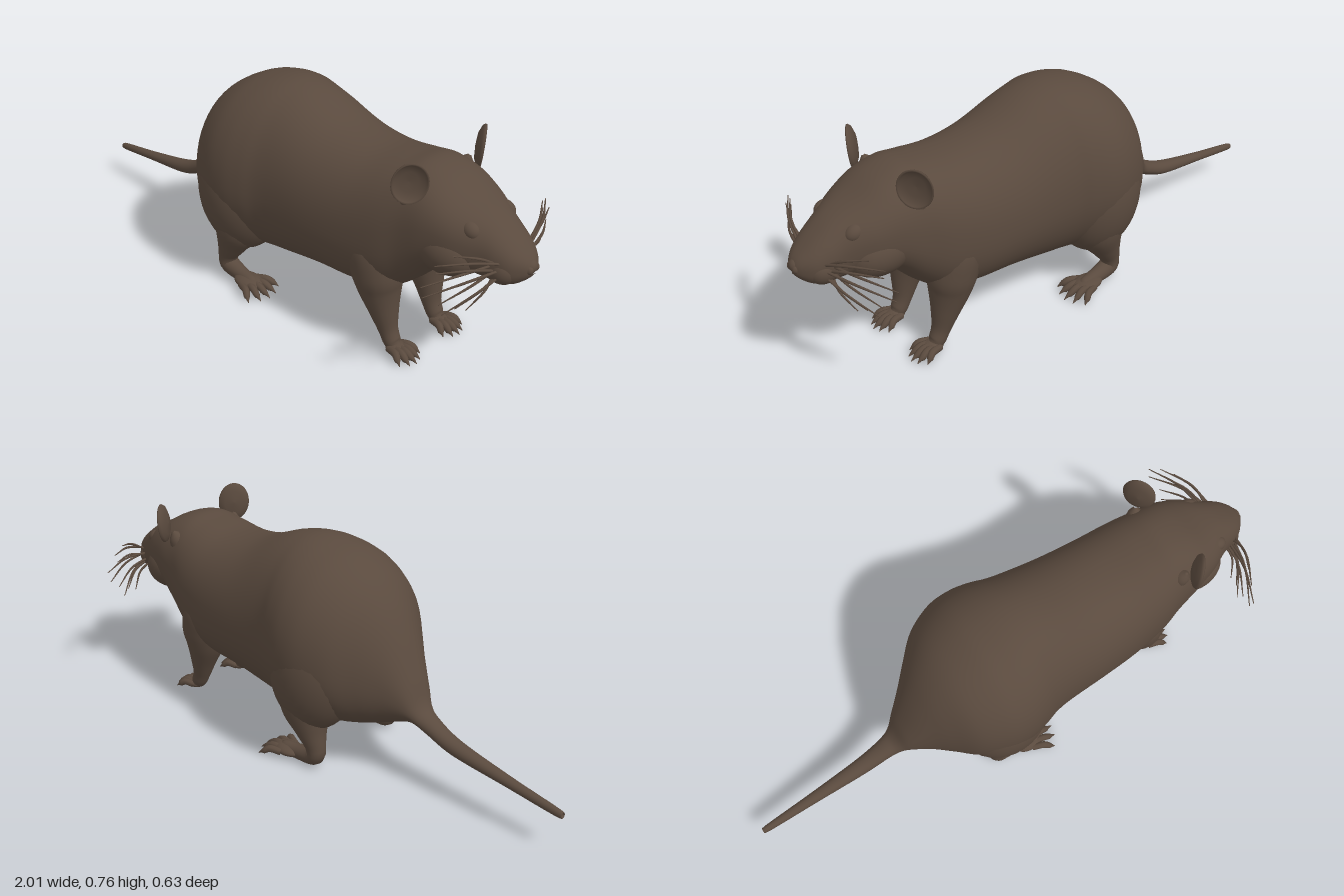
import * as THREE from 'three';
import { mergeVertices } from 'three/addons/utils/BufferGeometryUtils.js';

const fur = new THREE.MeshStandardMaterial({ color: 0x5a4a3e });
fur.name = 'brown fur';

function add(parent, name, geometry) {
  const mesh = new THREE.Mesh(geometry, fur);
  mesh.name = name;
  parent.add(mesh);
  return mesh;
}

function ellipsoid(parent, name, [x, y, z], [rx, ry, rz], tilt = 0) {
  const mesh = add(parent, name, new THREE.SphereGeometry(1, 32, 24));
  mesh.position.set(x, y, z);
  mesh.scale.set(rx, ry, rz);
  mesh.rotation.z = tilt;
  return mesh;
}

const spline = points => new THREE.CatmullRomCurve3(points, false, 'catmullrom', 0.5);

// Tapered tube through points [x, y, z, radius]
function taper(parent, name, points, steps = 20, sides = 16) {
  const curve = spline(points.map(p => new THREE.Vector3(p[0], p[1], p[2])));
  const radii = spline(points.map(p => new THREE.Vector3(p[3], 0, 0)));
  const geo = new THREE.TubeGeometry(curve, steps, 1, sides);
  const pos = geo.attributes.position;
  const v = new THREE.Vector3();
  for (let i = 0; i <= steps; i++) {
    const c = curve.getPointAt(i / steps);
    const r = Math.max(0.001, radii.getPoint(curve.getUtoTmapping(i / steps)).x);
    for (let j = 0; j <= sides; j++) {
      const n = i * (sides + 1) + j;
      v.fromBufferAttribute(pos, n).sub(c).multiplyScalar(r).add(c);
      pos.setXYZ(n, v.x, v.y, v.z);
    }
  }
  geo.deleteAttribute('uv');
  geo.deleteAttribute('normal');
  const smooth = mergeVertices(geo, 1e-5);
  smooth.computeVertexNormals();
  return add(parent, name, smooth);
}

// Tail, trunk and head: [x, top, bottom, half width]
const SECTIONS = [
  [-1.0, 0.137, 0.128, 0.004], [-0.99, 0.146, 0.12, 0.012], [-0.8, 0.176, 0.142, 0.02],
  [-0.6, 0.216, 0.165, 0.03], [-0.5, 0.258, 0.2, 0.037], [-0.455, 0.295, 0.22, 0.048],
  [-0.42, 0.38, 0.222, 0.072], [-0.36, 0.51, 0.2, 0.118], [-0.3, 0.61, 0.178, 0.175],
  [-0.23, 0.683, 0.16, 0.24], [-0.14, 0.735, 0.148, 0.279], [-0.06, 0.757, 0.142, 0.285],
  [0.01, 0.765, 0.14, 0.27], [0.07, 0.76, 0.142, 0.25], [0.14, 0.742, 0.15, 0.24],
  [0.28, 0.69, 0.175, 0.232], [0.42, 0.67, 0.19, 0.22], [0.54, 0.683, 0.22, 0.203],
  [0.62, 0.695, 0.28, 0.182], [0.7, 0.675, 0.365, 0.168], [0.78, 0.632, 0.405, 0.145],
  [0.86, 0.593, 0.4, 0.104], [0.91, 0.56, 0.398, 0.088], [0.95, 0.528, 0.408, 0.07],
  [0.98, 0.5, 0.432, 0.04], [0.997, 0.472, 0.456, 0.01],
];

function bodyGeometry() {
  const steps = 150, sides = 48;
  const heights = spline(SECTIONS.map(s => new THREE.Vector3(s[0], s[1], s[2])));
  const widths = spline(SECTIONS.map(s => new THREE.Vector3(s[0], s[3], 0)));
  const positions = [], index = [];
  for (let i = 0; i <= steps; i++) {
    const { x, y: top, z: bottom } = heights.getPoint(i / steps);
    const w = widths.getPoint(i / steps).y;
    const mid = THREE.MathUtils.lerp(bottom, top, 0.46);
    // The head is a little boxier than the trunk
    const power = 0.95 - 0.12 * THREE.MathUtils.smoothstep(x, 0.2, 0.6);
    const full = p => Math.sign(p) * Math.pow(Math.abs(p), power);
    for (let j = 0; j < sides; j++) {
      const a = (j / sides) * Math.PI * 2;
      const s = Math.sin(a), c = Math.cos(a);
      positions.push(x, mid + full(s) * (s > 0 ? top - mid : mid - bottom), full(c) * w);
      if (i < steps) {
        const A = i * sides + j, D = i * sides + (j + 1) % sides;
        index.push(A, A + sides, D + sides, A, D + sides, D);
      }
    }
  }
  const geo = new THREE.BufferGeometry();
  geo.setAttribute('position', new THREE.Float32BufferAttribute(positions, 3));
  geo.setIndex(index);
  geo.computeVertexNormals();
  return geo;
}

// Fan of clawed toes in front of a palm at [x, z]
function toes(parent, name, x, z, length, gap, spread) {
  for (let k = -2; k <= 2; k++) {
    const reach = length * (1 - 0.09 * k * k);
    const at = f => z + k * (gap + (spread - gap) * f);
    taper(parent, name, [
      [x - 0.02, 0.026, at(0), 0.012], [x + reach * 0.35, 0.03, at(0.4), 0.013],
      [x + reach * 0.7, 0.018, at(0.75), 0.011], [x + reach * 0.82, 0.015, at(0.85), 0.006],
      [x + reach, 0.006, at(1), 0.001],
    ], 12, 8);
  }
}

// Whisker tips [x, y, z]
const WHISKERS = [
  [0.84, 0.53, 0.27], [0.86, 0.55, 0.22], [0.83, 0.475, 0.315], [0.83, 0.435, 0.305],
  [0.84, 0.5, 0.26], [0.85, 0.395, 0.255], [0.85, 0.35, 0.235], [0.87, 0.365, 0.2],
  [0.88, 0.345, 0.16],
];

// Everything that exists once per side, built for the left of the animal (+z)
function buildSide() {
  const side = new THREE.Group();

  ellipsoid(side, 'haunch', [-0.1, 0.355, 0.145], [0.168, 0.225, 0.143], 0.08);
  taper(side, 'hindLeg', [
    [-0.08, 0.38, 0.15, 0.05], [-0.085, 0.3, 0.165, 0.098], [-0.09, 0.22, 0.175, 0.09],
    [-0.118, 0.14, 0.182, 0.057], [-0.14, 0.08, 0.185, 0.036], [-0.135, 0.043, 0.185, 0.034],
    [-0.07, 0.03, 0.19, 0.028], [0, 0.028, 0.198, 0.022], [0.02, 0.026, 0.2, 0.003],
  ], 44, 20);
  ellipsoid(side, 'hindPaw', [-0.02, 0.028, 0.197], [0.06, 0.02, 0.044]);
  toes(side, 'hindToe', 0, 0.198, 0.09, 0.018, 0.036);

  taper(side, 'foreLeg', [
    [0.45, 0.5, 0.1, 0.04], [0.48, 0.4, 0.118, 0.088], [0.505, 0.3, 0.118, 0.088],
    [0.515, 0.23, 0.115, 0.073], [0.535, 0.15, 0.113, 0.05], [0.555, 0.08, 0.11, 0.033],
    [0.58, 0.035, 0.11, 0.027], [0.615, 0.026, 0.11, 0.003],
  ], 40, 20);
  ellipsoid(side, 'forePaw', [0.595, 0.026, 0.11], [0.04, 0.018, 0.034]);
  toes(side, 'foreToe', 0.6, 0.11, 0.08, 0.012, 0.025);

  // Cupped ear with a rounded rim
  const profile = [[0, 0.0], [0.6, 0.06], [0.92, 0.22], [1.0, 0.36], [0.97, 0.42], [0.9, 0.38],
    [0.8, 0.28], [0.5, 0.17], [0, 0.14]].map(p => new THREE.Vector2(p[0], p[1]));
  const earGeo = new THREE.LatheGeometry(profile, 36);
  earGeo.rotateZ(-Math.PI / 2);
  earGeo.scale(0.06, 0.072, 0.058);
  const ear = add(side, 'ear', earGeo);
  ear.position.set(0.64, 0.682, 0.158);
  ear.rotation.set(0.15, -0.65, 0);
  taper(side, 'earBase', [[0.62, 0.58, 0.12, 0.04], [0.625, 0.625, 0.138, 0.028],
    [0.63, 0.65, 0.148, 0.005]], 10);

  ellipsoid(side, 'eyelid', [0.82, 0.562, 0.085], [0.034, 0.027, 0.027], -0.4);
  ellipsoid(side, 'cheek', [0.73, 0.47, 0.08], [0.12, 0.085, 0.085], -0.2);
  ellipsoid(side, 'whiskerPad', [0.91, 0.455, 0.04], [0.055, 0.05, 0.05], -0.3);
  ellipsoid(side, 'nostril', [0.98, 0.468, 0.014], [0.018, 0.017, 0.015]);

  WHISKERS.forEach(([x, y, z], i) => {
    const root = [0.925 - 0.012 * (i % 3), 0.485 - 0.007 * i, 0.07];
    taper(side, 'whisker', [
      [...root, 0.0045],
      [(root[0] + x) / 2 + 0.015, (root[1] + y) / 2 + 0.012, (root[2] + z) / 2, 0.0042],
      [x, y, z, 0.0015],
    ], 10, 6);
  });
  return side;
}

// Reflects a side across z = 0, keeping the faces outward
function mirrored(side) {
  side.updateMatrixWorld(true);
  const group = new THREE.Group();
  const flip = new THREE.Matrix4().makeScale(1, 1, -1);
  side.traverse(o => {
    if (!o.isMesh) return;
    const geo = o.geometry.clone().applyMatrix4(o.matrixWorld).applyMatrix4(flip);
    const idx = geo.index.array;
    for (let i = 0; i < idx.length; i += 3) [idx[i], idx[i + 1]] = [idx[i + 1], idx[i]];
    add(group, o.name, geo);
  });
  return group;
}

export function createModel() {
  const model = new THREE.Group();
  model.name = 'rat';
  add(model, 'body', bodyGeometry());
  ellipsoid(model, 'lowerJaw', [0.885, 0.418, 0], [0.06, 0.024, 0.05]);
  ellipsoid(model, 'nose', [0.975, 0.472, 0], [0.024, 0.024, 0.026]);
  ellipsoid(model, 'bellyBump', [-0.02, 0.142, 0], [0.035, 0.024, 0.02]);
  const left = buildSide();
  left.name = 'leftSide';
  const right = mirrored(left);
  right.name = 'rightSide';
  model.add(left, right);
  return model;
}
